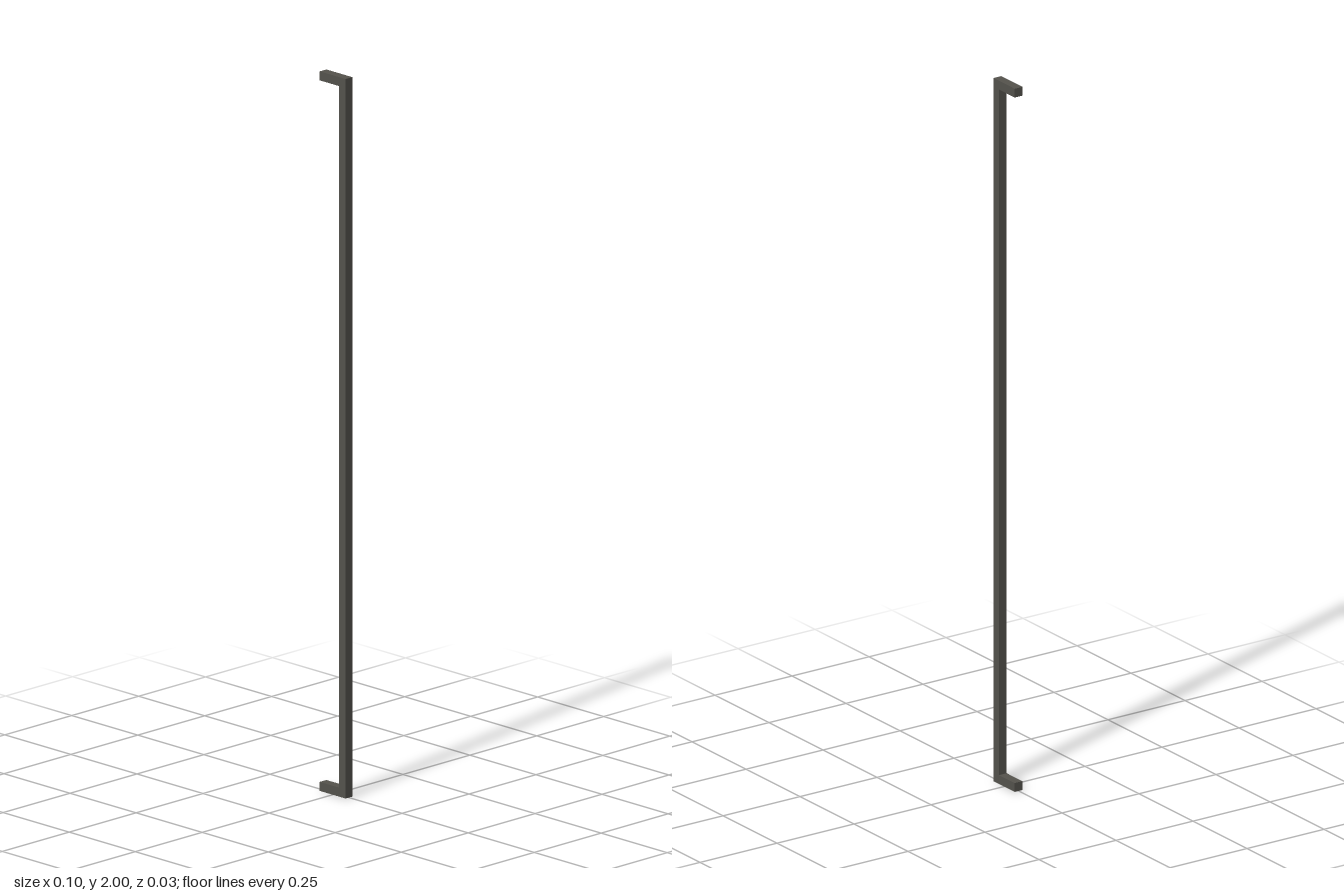
import * as THREE from 'three';

const HEIGHT = 2, REACH = 0.098, BAR = 0.025;

export function createModel() {
  const group = new THREE.Group();
  group.name = 'pullHandle';
  const material = new THREE.MeshStandardMaterial({ color: 0x55534d });

  const addBox = (name, w, h, x, y) => {
    const mesh = new THREE.Mesh(new THREE.BoxGeometry(w, h, BAR), material);
    mesh.name = name;
    mesh.position.set(x, y, 0);
    group.add(mesh);
  };

  // Long square grip bar
  addBox('gripBar', BAR, HEIGHT, (REACH - BAR) / 2, HEIGHT / 2);

  // Short mounting arms butting against the bar at both ends
  addBox('lowerArm', REACH - BAR, BAR, -BAR / 2, BAR / 2);
  addBox('upperArm', REACH - BAR, BAR, -BAR / 2, HEIGHT - BAR / 2);

  return group;
}
